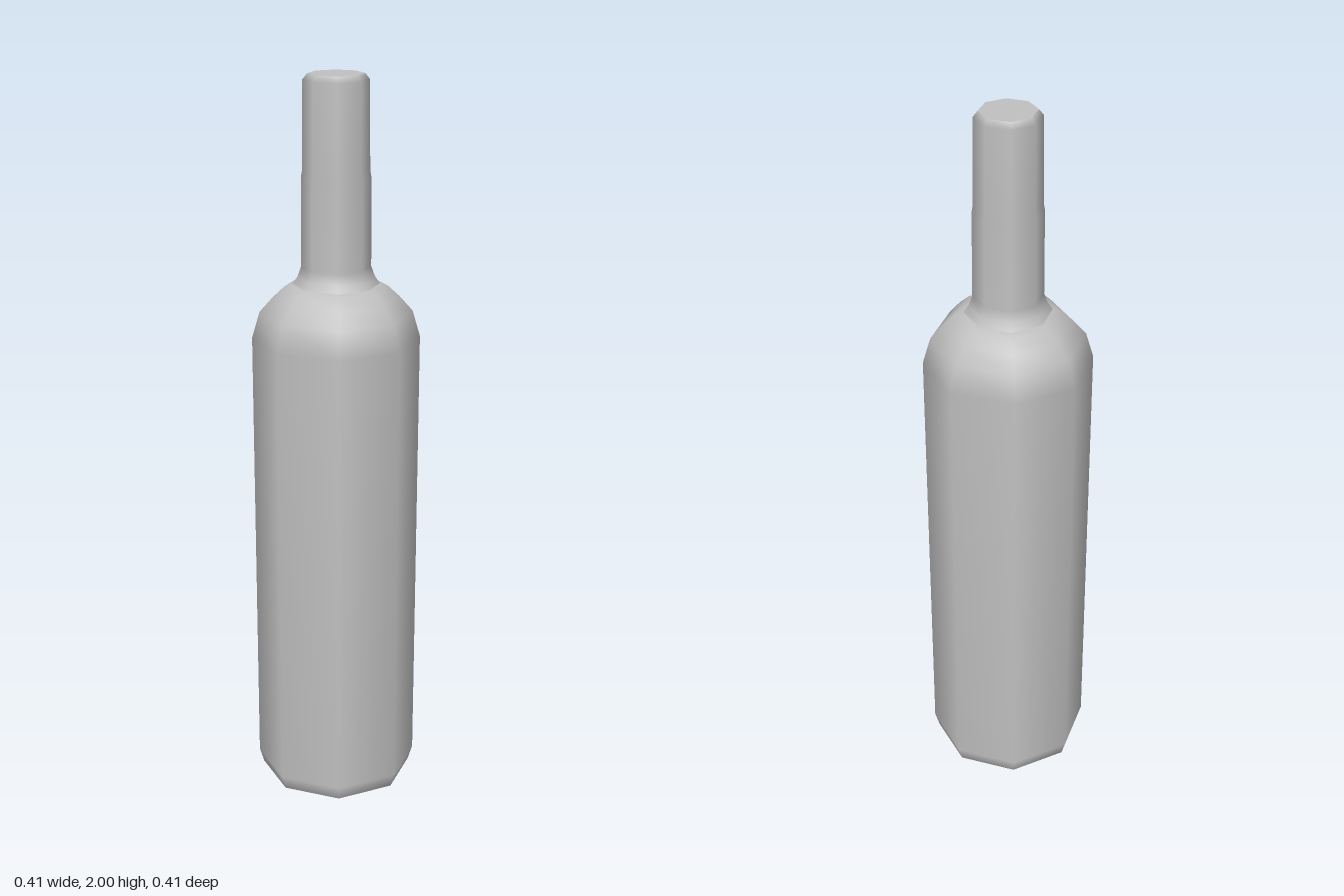
import * as THREE from 'three';

const SIDES = 8;
// profiles give the distance to the flat sides; scale out to the corners
const CORNER = 1 / Math.cos(Math.PI / SIDES);

export function createModel() {
  const bottle = new THREE.Group();
  bottle.name = 'bottle';
  const grey = new THREE.MeshStandardMaterial({ color: 0xc0c0c0 });
  grey.name = 'bottleGrey';

  // eight-sided turned part, profile listed from bottom to top as [radius, y]
  function turned(name, profile) {
    const points = profile.map(([r, y]) => new THREE.Vector2(r * CORNER, y));
    const geometry = new THREE.LatheGeometry(points, SIDES, Math.PI / SIDES);
    const mesh = new THREE.Mesh(geometry, grey);
    mesh.name = name;
    bottle.add(mesh);
  }

  // stepped underside
  turned('baseCentre', [[0, 0], [0.06, 0]]);
  turned('baseCentreEdge', [[0.06, 0], [0.06, 0.016]]);
  turned('baseRing', [[0.06, 0.016], [0.15, 0.018]]);
  turned('baseRingEdge', [[0.15, 0.018], [0.15, 0.03]]);
  turned('baseRim', [[0.15, 0.03], [0.178, 0.035]]);

  // rounded foot, straight wall and shoulder
  turned('body', [
    [0.178, 0.035], [0.193, 0.045], [0.204, 0.085], [0.204, 0.7], [0.204, 1.32],
    [0.185, 1.39], [0.152, 1.43], [0.125, 1.457], [0.105, 1.464],
  ]);

  // neck flares into the shoulder and tapers to a bevelled lip
  turned('neck', [
    [0.105, 1.464], [0.093, 1.483], [0.084, 1.51], [0.083, 1.74],
    [0.08, 1.76], [0.078, 1.985], [0.067, 2],
  ]);
  turned('mouthCap', [[0.067, 2], [0, 2]]);

  return bottle;
}
